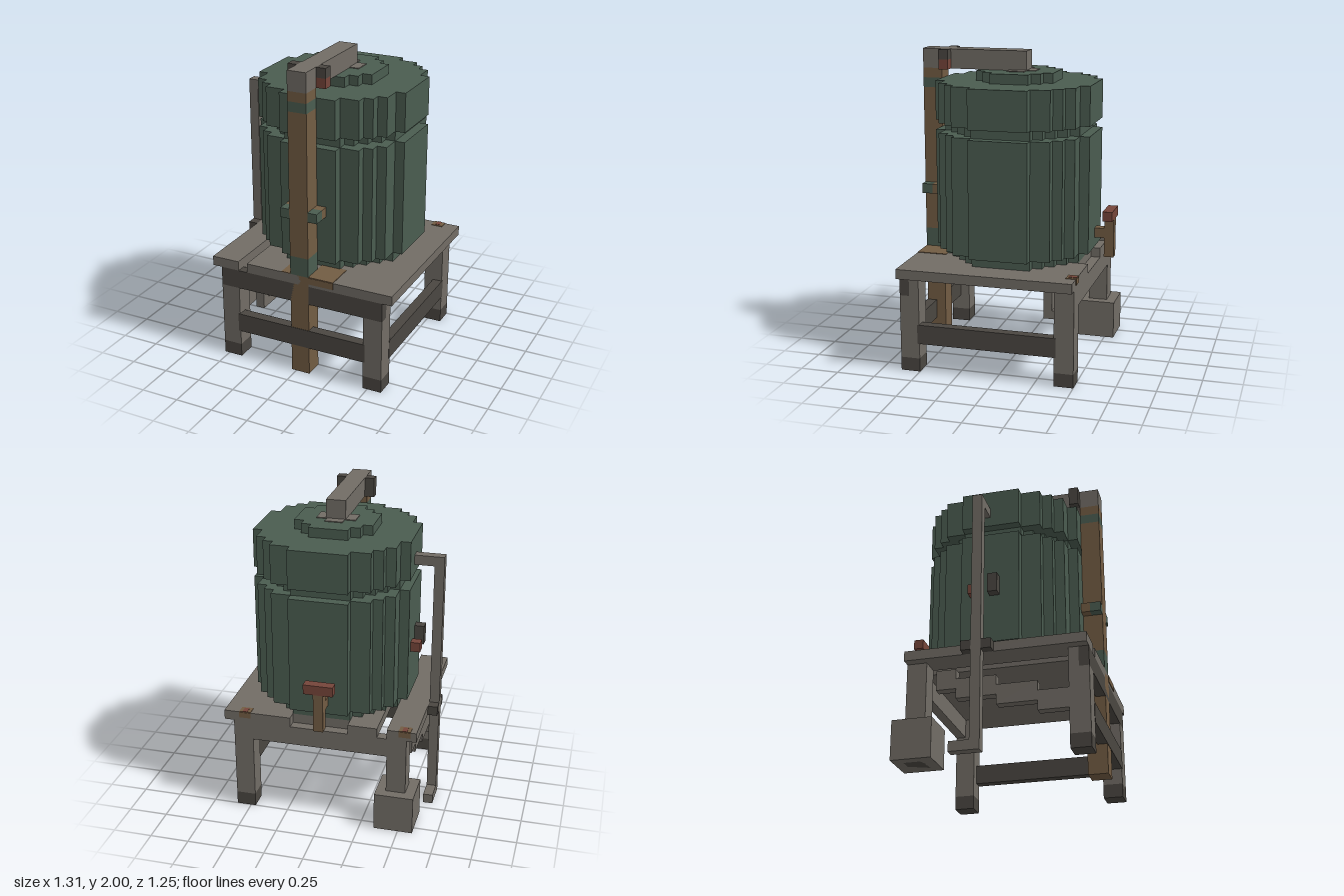
import * as THREE from 'three';

const U = 0.0625; // block size; all coordinates below are in blocks
const mat = (name, color) => Object.assign(new THREE.MeshStandardMaterial({ color }), { name });

export function createModel() {
  const model = new THREE.Group();
  model.name = 'waterTankOnStand';
  const green = mat('tank green', 0x4a5c50);
  const grey = mat('weathered grey', 0x716c65);
  const dark = mat('dark grey', 0x4a4641);
  const brown = mat('rust brown', 0x725c43);
  const red = mat('rust red', 0x75453a);

  const add = (name, geometry, material) => {
    const mesh = new THREE.Mesh(geometry, material);
    mesh.name = name;
    model.add(mesh);
    return mesh;
  };
  // Box from min/max corners; x is measured from the tank's axis
  const box = (name, material, x0, x1, y0, y1, z0, z1) => {
    const g = new THREE.BoxGeometry((x1 - x0) * U, (y1 - y0) * U, (z1 - z0) * U);
    g.translate(((x0 + x1) / 2 + 0.5) * U, (y0 + y1) / 2 * U, (z0 + z1) / 2 * U);
    return add(name, g, material);
  };
  // Stepped disc of radius r
  const disc = (name, r, y0, y1) => {
    const half = (z) => Math.floor(Math.sqrt(r * r - z * z) + 0.5);
    const side = [];
    for (let z = -r; z < r; z++) {
      const w = half(z + 0.5);
      side.push([w, z], [w, z + 1]);
    }
    const corners = [...side, ...side.map(([x, z]) => [-x, z]).reverse()];
    const pts = corners
      .filter(([x, z], i) => {
        const [px, pz] = corners[(i + corners.length - 1) % corners.length];
        const [nx, nz] = corners[(i + 1) % corners.length];
        return !((px === x && nx === x) || (pz === z && nz === z));
      })
      .map(([x, z]) => new THREE.Vector2(x * U, z * U));
    const g = new THREE.ExtrudeGeometry(new THREE.Shape(pts), { depth: (y1 - y0) * U, bevelEnabled: false });
    g.rotateX(-Math.PI / 2).translate(U / 2, y0 * U, 0);
    add(name, g, green);
  };

  // Tank
  disc('tankBase', 7, 11, 12);
  disc('tankBody', 8, 12, 24);
  disc('tankNeck', 7, 24, 25);
  disc('tankTop', 8, 25, 29);
  disc('tankLid', 4, 29, 30);
  box('lidStain', grey, -2, 2, 30, 30.08, -1, 0.8);
  box('lidStain', grey, -0.9, 0.9, 30, 30.08, -1.9, -1);

  // Front standpipe, its coloured bands and the pipe over the lid
  const bands = [[0, 11, brown], [11, 13, green], [13, 28, brown], [28, 29, green], [29, 30, brown]];
  for (const [y0, y1, m] of bands) box('standpipe', m, -1, 1, y0, y1, 8, 10);
  box('topPipe', grey, -1, 1, 30, 32, -1, 10);
  box('pipeClampRight', dark, -2, -1, 30, 32, 7, 8);
  box('pipeClampLeft', dark, 1, 2, 31, 32, 7, 8);
  box('pipeClampRust', red, 1, 2, 30, 31, 7, 8);
  for (const x of [-2, 1]) {
    box('bracketFront', green, x, x + 1, 17, 18, 8.9, 10);
    box('bracketBack', brown, x, x + 1, 17, 18, 8, 8.9);
  }

  // Table planks, split by a slot, with a notch at the back below the tap
  box('sidePlank', grey, -10, -7, 10, 11, -8, 10);
  box('mainPlank', grey, -6, 10, 10, 11, -7, 10);
  box('mainPlankBack', grey, -6, -3, 10, 11, -8, -7);
  box('mainPlankBack', grey, 3, 10, 10, 11, -8, -7);
  box('tableRust', brown, 1, 3.7, 11, 11.06, 6.9, 10);
  box('tableRust', brown, -2, -1, 11, 11.06, 6.9, 10);
  box('tableRustEdge', brown, 1, 3.7, 10.3, 11, 10, 10.06);
  for (const x of [-9.4, 7.2]) {
    box('boltRust', brown, x, x + 1.2, 11, 11.06, -8, -7);
    box('bolt', red, x + 0.35, x + 0.85, 11.06, 11.1, -8, -7.2);
    box('boltRustEdge', brown, x, x + 1.2, 10.4, 11, -8.06, -8);
  }

  // Legs with dark feet
  for (const x of [-9, 7]) {
    for (const z of [-8, 8]) {
      box('foot', dark, x, x + 2, 0, 1.4, z, z + 2);
      box('leg', grey, x, x + 2, 1.4, z > 0 ? 8 : 10, z, z + 2);
    }
    box('frontLegTop', grey, x, x + 2, 8, 10, 8, 9);
  }
  box('footBlock', grey, -10, -6, 0, 4, -9, -5);

  // Rails and stretchers
  box('frontRail', dark, -9, 9, 8, 10, 9, 10);
  box('backRail', grey, -7, 7, 8, 10, -8, -7);
  box('frontStretcher', dark, -7.2, 7.2, 3, 5, 9, 10.04);
  box('leftStretcher', dark, 8, 9.04, 3, 5, -6.2, 8.2);
  // Slipped stretcher, stepping up towards the back
  [[5, 8, 4], [1, 5, 5], [-3, 1, 6], [-5, -3, 7]].forEach(([z0, z1, y]) =>
    box('slippedStretcher', grey, -9, -8, y, y + 2, z0, z1));

  // Overflow pipe on the right side
  box('overflowPipe', grey, -11, -10, 0, 27, -1, 0);
  box('overflowTop', grey, -10, -8, 26, 27, -1, 0);
  box('overflowFoot', grey, -11, -10, 0, 1, -3, -1);
  box('overflowClamp', dark, -11, -10, 10, 11, -2, -1);
  box('overflowClamp', dark, -11, -10, 10, 11, 0, 1);
  box('sideFitting', dark, -9, -8, 17, 19, 0, 1);
  box('sideFittingRust', red, -9, -8, 17, 18, -2, -1);

  // Tap at the back
  box('tapSpout', brown, -1, 0, 13, 14, -9, -8);
  box('tapStem', brown, -1, 0, 11, 15, -10, -9);
  box('tapHandle', red, -2, 1, 15, 16, -10, -9);

  return model;
}
